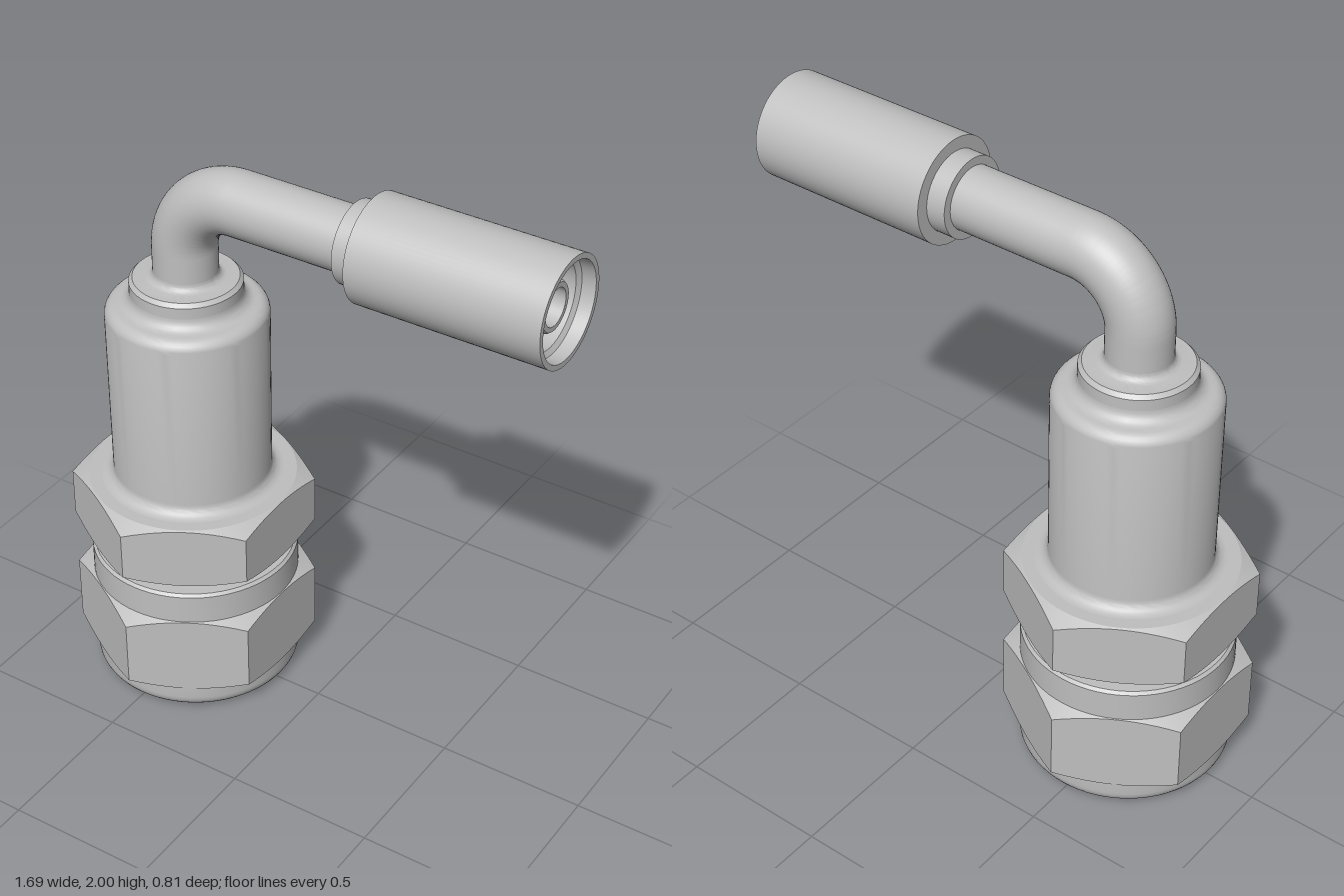
import * as THREE from 'three';
import { toCreasedNormals } from 'three/addons/utils/BufferGeometryUtils.js';

const AXIS_X = -0.495, PIPE_Y = 1.825, PIPE_R = 0.105, BEND = 0.21;

// Points along a circular arc in a profile, angles in degrees.
function arc(cx, cy, r, from, to, steps = 7) {
  return Array.from({ length: steps + 1 }, (_, i) => {
    const a = THREE.MathUtils.degToRad(from + (to - from) * i / steps);
    return [cx + r * Math.cos(a), cy + r * Math.sin(a)];
  });
}

function lathe(profile, segments = 72) {
  return new THREE.LatheGeometry(profile.map(([r, y]) => new THREE.Vector2(r, y)), segments);
}

// Hexagonal prism whose corners are cut by a cone at both ends.
function hexNut(apothem, y0, y1, inner) {
  const rim = apothem - 0.006, slope = 0.5;
  const g = lathe([[inner, y0], [rim, y0], [apothem, y0], [apothem, y1], [rim, y1], [inner, y1]], 72);
  const p = g.attributes.position;
  for (let i = 0; i <= 72; i++) {
    const a = i / 72 * Math.PI * 2;
    const r = apothem / Math.cos((i % 12) / 12 * Math.PI / 3 - Math.PI / 6);
    const drop = (r - rim) * slope;
    p.setXYZ(i * 6 + 2, r * Math.sin(a), y0 + drop, r * Math.cos(a));
    p.setXYZ(i * 6 + 3, r * Math.sin(a), y1 - drop, r * Math.cos(a));
  }
  return g;
}

// Path of the bent pipe: up, round the elbow, then along +x.
function pipePath(y0, x1) {
  const path = new THREE.CurvePath();
  const c = new THREE.Vector3(AXIS_X + BEND, PIPE_Y - BEND, 0);
  const points = [new THREE.Vector3(AXIS_X, y0, 0)];
  for (let i = 0; i <= 24; i++) {
    const a = Math.PI - i / 24 * Math.PI / 2;
    points.push(new THREE.Vector3(c.x + BEND * Math.cos(a), c.y + BEND * Math.sin(a), 0));
  }
  points.push(new THREE.Vector3(x1, PIPE_Y, 0));
  for (let i = 1; i < points.length; i++) path.add(new THREE.LineCurve3(points[i - 1], points[i]));
  return path;
}

export function createModel() {
  const steel = new THREE.MeshStandardMaterial({ color: 0xbfbfbf });
  steel.name = 'steel';
  const steelInside = steel.clone();
  steelInside.name = 'steel inside';
  steelInside.side = THREE.BackSide;

  const model = new THREE.Group();
  model.name = 'elbowHoseFitting';
  const add = (name, geometry, material = steel, crease = 0.4) => {
    const mesh = new THREE.Mesh(crease ? toCreasedNormals(geometry, crease) : geometry, material);
    mesh.name = name;
    model.add(mesh);
    return mesh;
  };
  const upright = (name, geometry) => { add(name, geometry).position.x = AXIS_X; };

  // Round base of the swivel nut with its stepped socket
  upright('swivelNutBase', lathe([
    [0.06, 0.7], [0.15, 0.7], [0.15, 0.16], [0.19, 0.14], [0.19, 0.09],
    [0.165, 0.08], [0.165, 0.05], [0.195, 0.03], [0.195, 0],
    ...arc(0.297, 0.05, 0.05, -90, 0), [0.347, 0.1],
  ]));
  upright('swivelNut', hexNut(0.35, 0.09, 0.38, 0.25));
  upright('swivelCollar', lathe([
    [0.347, 0.36], [0.347, 0.48], [0.338, 0.49], [0.27, 0.49],
  ]));
  upright('neck', lathe([[0.268, 0.48], [0.268, 0.505], [0.283, 0.515], [0.283, 0.54]]));
  upright('bodyNut', hexNut(0.35, 0.53, 0.755, 0.2));

  // Cylindrical body with rounded shoulders
  upright('body', lathe([
    [0.31, 0.75],
    ...arc(0.302, 0.795, 0.04, 270, 180),
    ...arc(0.222, 1.37, 0.042, 0, 90),
    ...arc(0.222, 1.452, 0.04, 270, 180),
  ]));
  upright('pipeSeat', lathe([
    [0.182, 1.44], [0.182, 1.49], [0.17, 1.503], [0.13, 1.503],
    ...arc(0.13, 1.528, 0.025, 270, 180),
  ]));

  // Bent pipe and its bore
  add('pipe', new THREE.TubeGeometry(pipePath(1.49, 0.16), 160, PIPE_R, 48), steel, 0);
  add('pipeBore', new THREE.TubeGeometry(pipePath(0.7, 0.8), 200, 0.06, 36), steelInside, 0);

  // Parts along the pipe's outlet
  const along = (name, profile) => {
    add(name, lathe(profile).rotateZ(-Math.PI / 2)).position.y = PIPE_Y;
  };
  along('pipeCollar', [[0.1, 0.13], [0.133, 0.13], [0.133, 0.22]]);
  along('crimpSleeve', [
    [0.12, 0.197], [0.175, 0.197], [0.175, 0.845], [0.157, 0.845],
    [0.155, 0.8], [0.138, 0.79], [0.138, 0.3], [0.07, 0.3],
  ]);
  along('hoseNipple', [[0.082, 0.25], [0.082, 0.79], [0.076, 0.8], [0.06, 0.8]]);

  return model;
}
